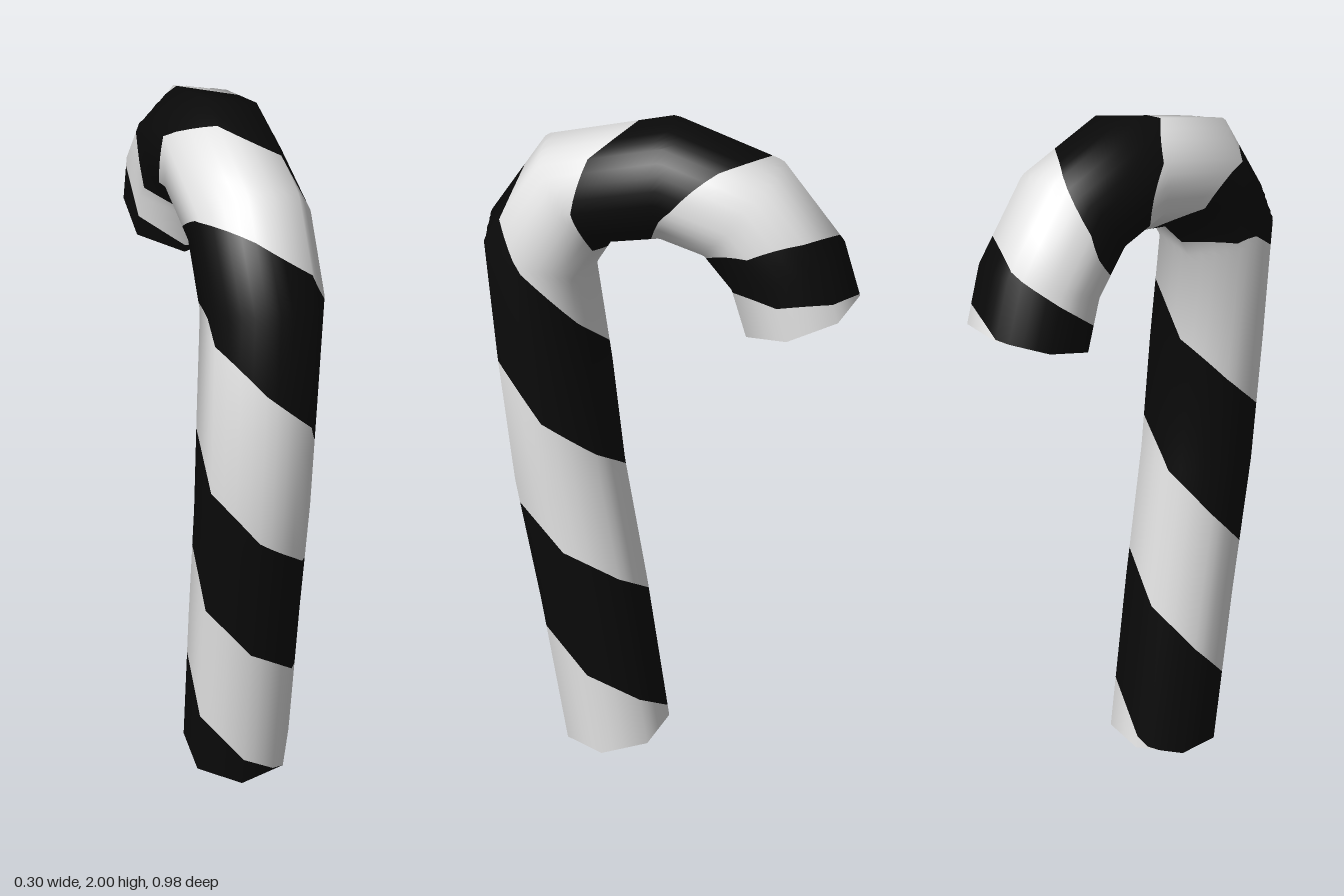
import * as THREE from 'three';

const SIDES = 7, RADIUS = 0.1577, SHIFT_X = -0.0078;

// Cross-section rings along the cane: outer (z, y) and inner (z, y) edge
const RINGS = [
  [0.314, 0.0, 0.01, 0.04],
  [0.38, 0.505, 0.075, 0.54],
  [0.44, 0.91, 0.138, 0.945],
  [0.474, 1.3, 0.168, 1.27],
  [0.493, 1.66, 0.205, 1.555],
  [0.33, 1.905, 0.14, 1.665],
  [-0.008, 2.0, 0.0, 1.693],
  [-0.28, 1.91, -0.1, 1.67],
  [-0.44, 1.71, -0.165, 1.595],
  [-0.488, 1.56, -0.203, 1.465],
].map(([oz, oy, iz, iy]) => ({
  centre: new THREE.Vector3(SHIFT_X, (oy + iy) / 2, (oz + iz) / 2),
  out: new THREE.Vector3(0, oy - iy, oz - iz).normalize(),
}));

// Distance along the centre line at each ring
const DIST = [0];
for (let i = 1; i < RINGS.length; i++) {
  DIST.push(DIST[i - 1] + RINGS[i].centre.distanceTo(RINGS[i - 1].centre));
}
const LENGTH = DIST[DIST.length - 1];

// Distance of each stripe edge on the +x side, from edge number -1 upwards
const EDGES = [-0.15, 0.29, 0.72, 1.14, 1.59, 1.835, 2.1, 2.33, 2.48, 2.64];
function edgeDistance(n) {
  const f = THREE.MathUtils.clamp(n + 1, 0, EDGES.length - 1.001);
  const i = Math.floor(f);
  return THREE.MathUtils.clamp(THREE.MathUtils.lerp(EDGES[i], EDGES[i + 1], f - i), 0, LENGTH);
}

// Offset from the centre of one ring at side position u (0 to SIDES)
function radial(ring, u) {
  const k = Math.floor(u), t = u - k;
  const corner = (j) => {
    const a = (j * 2 * Math.PI) / SIDES;
    return new THREE.Vector3(Math.cos(a), 0, 0).addScaledVector(ring.out, Math.sin(a));
  };
  return corner(k).lerp(corner(k + 1), t);
}

// Surface point and smooth normal at side position u and distance s
function surface(u, s) {
  let i = 0;
  while (i < RINGS.length - 2 && s > DIST[i + 1]) i++;
  const t = (s - DIST[i]) / (DIST[i + 1] - DIST[i]);
  const normal = radial(RINGS[i], u).lerp(radial(RINGS[i + 1], u), t);
  const point = RINGS[i].centre.clone().lerp(RINGS[i + 1].centre, t).addScaledVector(normal, RADIUS);
  return { point, normal: normal.normalize(), s };
}

// One spiral band between stripe edges n and n + 1, wound once round the cane
function bandGeometry(n) {
  const around = SIDES * 4, along = 20;
  const pos = [], nor = [];
  const at = (c, r) => {
    const u = (c / around) * SIDES;
    return surface(u, edgeDistance(n + r / along + (2 * u) / SIDES));
  };
  const push = (...verts) => verts.forEach((v) => {
    pos.push(...v.point.toArray());
    nor.push(...v.normal.toArray());
  });
  for (let c = 0; c < around; c++) {
    for (let r = 0; r < along; r++) {
      const a = at(c, r), b = at(c, r + 1), d = at(c + 1, r + 1), e = at(c + 1, r);
      if (d.s - e.s > 1e-6) push(a, d, e);
      if (b.s - a.s > 1e-6) push(a, b, d);
    }
  }
  if (!pos.length) return null;
  const g = new THREE.BufferGeometry();
  g.setAttribute('position', new THREE.Float32BufferAttribute(pos, 3));
  g.setAttribute('normal', new THREE.Float32BufferAttribute(nor, 3));
  return g;
}

// Flat seven-sided end cap
function endCap(ring, isTop, material, name) {
  const x = new THREE.Vector3(1, 0, 0);
  const y = ring.out.clone().multiplyScalar(isTop ? -1 : 1);
  const basis = new THREE.Matrix4().makeBasis(x, y, x.clone().cross(y)).setPosition(ring.centre);
  const mesh = new THREE.Mesh(new THREE.CircleGeometry(RADIUS, SIDES).applyMatrix4(basis), material);
  mesh.name = name;
  return mesh;
}

export function createModel() {
  const dark = new THREE.MeshStandardMaterial({ color: 0x0a0a0a });
  dark.name = 'black';
  const light = new THREE.MeshStandardMaterial({ color: 0xe4e4e4 });
  light.name = 'white';

  const group = new THREE.Group();
  group.name = 'stripedCane';

  // Alternating spiral stripes
  for (let n = -3; n <= 8; n++) {
    const g = bandGeometry(n);
    if (!g) continue;
    const isDark = n % 2 === 0;
    const mesh = new THREE.Mesh(g, isDark ? dark : light);
    mesh.name = isDark ? 'darkStripe' : 'lightStripe';
    group.add(mesh);
  }

  group.add(endCap(RINGS[0], false, light, 'bottomCap'));
  group.add(endCap(RINGS[RINGS.length - 1], true, light, 'hookCap'));
  return group;
}
